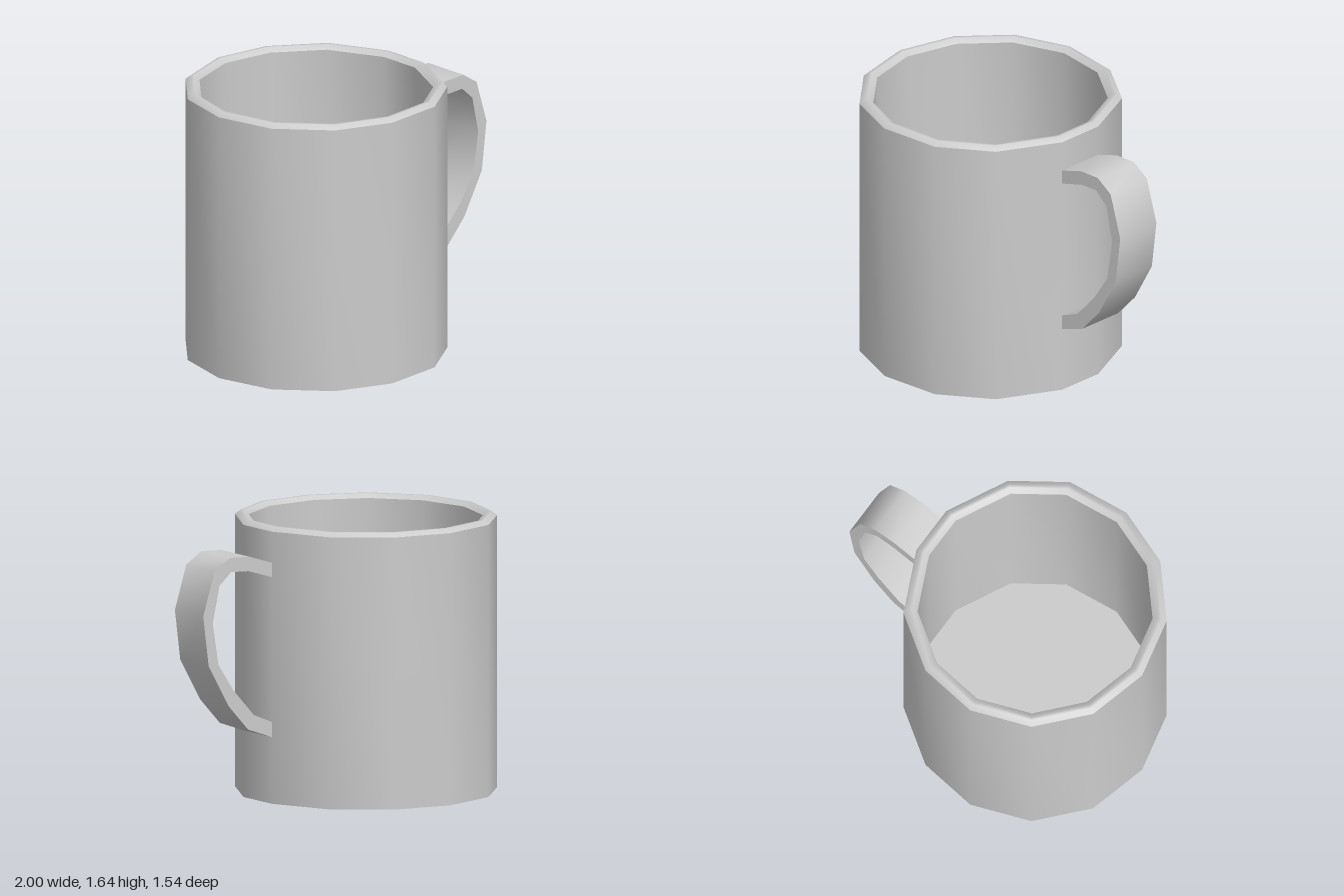
import * as THREE from 'three';
import { toCreasedNormals } from 'three/addons/utils/BufferGeometryUtils.js';

const material = new THREE.MeshStandardMaterial({ color: 0xcccccc });

// Thirteen-sided plan of the body [x, z], with one facet turned to the handle
const outline = [
  [0.527, -0.04], [0.453, -0.33], [0.2, -0.64], [-0.16, -0.772], [-0.52, -0.73],
  [-0.83, -0.52], [-1, -0.19], [-1, 0.185], [-0.83, 0.515], [-0.52, 0.725],
  [-0.16, 0.767], [0.2, 0.635], [0.44, 0.36],
];
const centreX = -0.24;

// Skin between successive rings [scale, y]; normals are smooth within one band
function band(name, rings) {
  const n = outline.length;
  const positions = [];
  const index = [];
  for (const [s, y] of rings) {
    for (const [x, z] of outline) positions.push(centreX + (x - centreX) * s, y, z * s);
  }
  for (let r = 0; r < rings.length - 1; r++) {
    for (let i = 0; i < n; i++) {
      const a = r * n + i;
      const b = r * n + (i + 1) % n;
      index.push(a, b, a + n, b, b + n, a + n);
    }
  }
  const geometry = new THREE.BufferGeometry();
  geometry.setAttribute('position', new THREE.Float32BufferAttribute(positions, 3));
  geometry.setIndex(index);
  geometry.computeVertexNormals();
  const mesh = new THREE.Mesh(geometry, material);
  mesh.name = name;
  return mesh;
}

// Flat strap handle: side profile extruded across its width
function createHandle() {
  const outer = [
    [0, 1.435], [0.157, 1.485], [0.297, 1.49], [0.405, 1.42], [0.485, 1.157],
    [0.447, 0.86], [0.307, 0.61], [0.168, 0.457], [0, 0.397],
  ];
  const inner = [
    [0, 1.35], [0.168, 1.4], [0.287, 1.405], [0.37, 1.33], [0.418, 1.11],
    [0.377, 0.86], [0.272, 0.7], [0.127, 0.54], [0, 0.487],
  ];
  const points = [...outer, ...inner.reverse()].map(([x, y]) => new THREE.Vector2(x, y));
  const width = 0.3;
  const geometry = new THREE.ExtrudeGeometry(new THREE.Shape(points), { depth: width, bevelEnabled: false });
  geometry.translate(0, 0, -width);
  const mesh = new THREE.Mesh(toCreasedNormals(geometry, 0.9), material);
  mesh.name = 'handle';
  mesh.position.set(0.527, 0, -0.04);
  mesh.rotation.y = 0.252;
  return mesh;
}

export function createModel() {
  const mug = new THREE.Group();
  mug.name = 'mug';
  const rimY = 1.62;
  const floorY = 0.08;
  mug.add(
    band('base', [[0, 0], [1, 0]]),
    band('outerWall', [[1, 0], [1, rimY]]),
    band('rim', [[1, rimY], [0.96, 1.645], [0.933, 1.645], [0.893, rimY]]),
    band('innerWall', [[0.893, rimY], [0.893, floorY]]),
    band('innerFloor', [[0.893, floorY], [0, floorY]]),
    createHandle(),
  );
  return mug;
}
